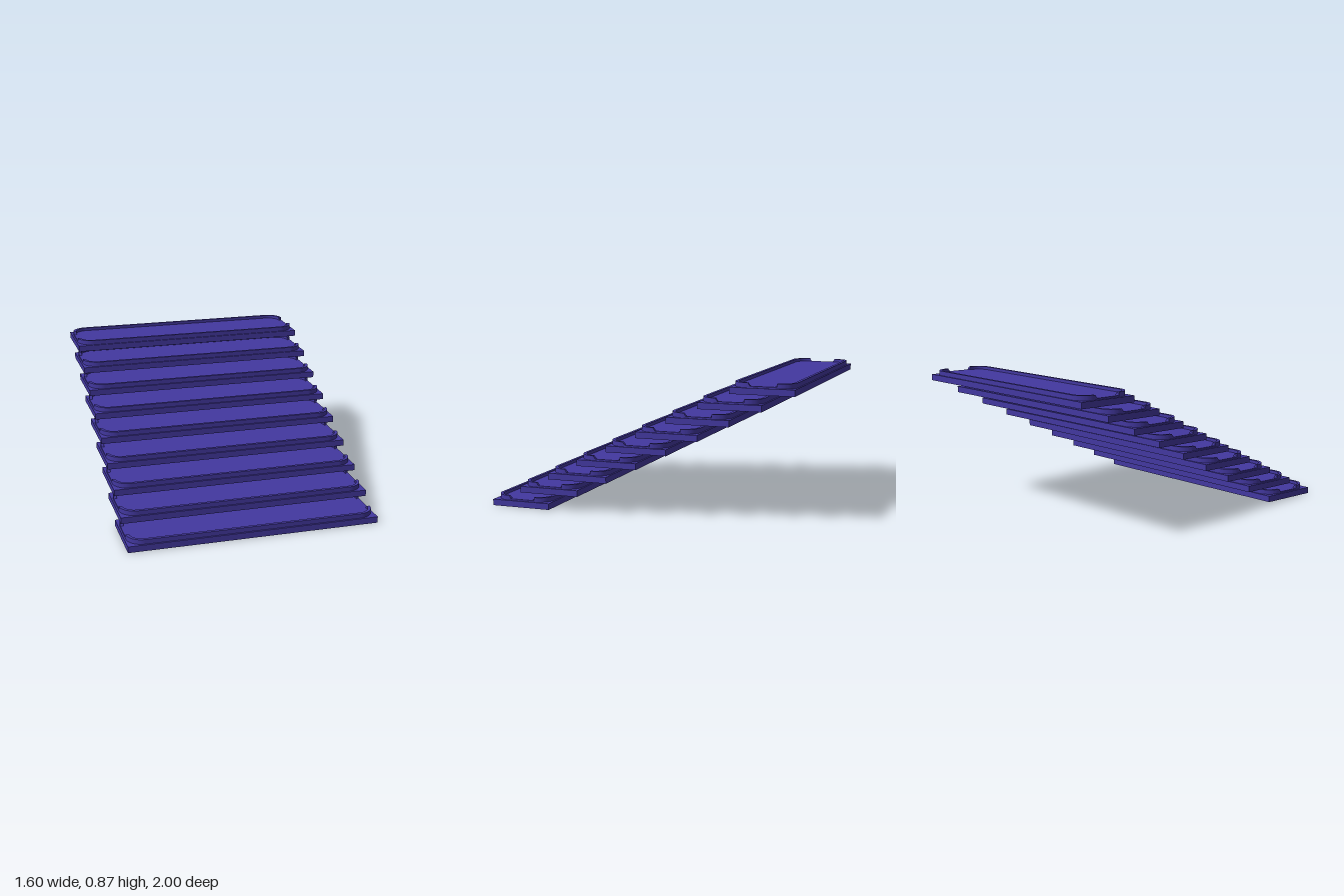
import * as THREE from 'three';
import { toCreasedNormals } from 'three/addons/utils/BufferGeometryUtils.js';

const STEPS = 9, RISE = 0.1, RUN = 0.2;
const W = 0.79, D = 0.19, R = 0.1;   // half width, half depth and corner radius of the raised tread
const BASE = 0.04, PANEL = 0.05, RIM = 0.07;
const WALL = 0.02, END = 0.075, SLOPE = 0.015;

// Extrude a plan shape upward from y0 to y1
function extrudeUp(shape, y0, y1) {
  const g = new THREE.ExtrudeGeometry(shape, { depth: y1 - y0, bevelEnabled: false, curveSegments: 10 });
  g.rotateX(-Math.PI / 2);
  g.translate(0, y0, 0);
  return g;
}

// Rounded plate inside the rims
function panelGeometry() {
  const s = new THREE.Shape();
  s.absarc(W - R, D - R, R, 0, Math.PI / 2);
  s.absarc(R - W, D - R, R, Math.PI / 2, Math.PI);
  s.absarc(R - W, R - D, R, Math.PI, Math.PI * 1.5);
  s.absarc(W - R, R - D, R, Math.PI * 1.5, Math.PI * 2);
  return toCreasedNormals(extrudeUp(s, BASE, PANEL), 0.6);
}

// Long U-shaped lip with rounded corners and sloping ends
function rimGeometry() {
  const s = new THREE.Shape();
  const cx = W - R, cy = D - R, half = Math.PI / 2;
  s.moveTo(W, END);
  s.absarc(cx, cy, R, 0, half);
  s.absarc(-cx, cy, R, half, Math.PI);
  s.lineTo(-W, END);
  s.lineTo(-W + WALL, END);
  s.absarc(-cx, cy, R - WALL, Math.PI, half, true);
  s.absarc(cx, cy, R - WALL, half, 0, true);
  s.lineTo(W - WALL, END);
  const g = extrudeUp(s, PANEL, RIM);
  const p = g.attributes.position;
  for (let i = 0; i < p.count; i++) {
    if (p.getY(i) > RIM - 0.001 && p.getZ(i) > -END - 0.001) p.setZ(i, -END - SLOPE + 0.001);
  }
  return toCreasedNormals(g, 0.6);
}

export function createModel() {
  const model = new THREE.Group();
  model.name = 'staircase';
  const material = new THREE.MeshStandardMaterial({ color: 0x4338a0 });
  const slab = new THREE.BoxGeometry(1.6, BASE, 0.4).translate(0, BASE / 2, 0);
  const panel = panelGeometry();
  const rim = rimGeometry();

  // Overlapping floating steps, climbing toward the back
  for (let i = 0; i < STEPS; i++) {
    const step = new THREE.Group();
    step.name = `step${i + 1}`;
    const add = (name, geometry) => {
      const mesh = new THREE.Mesh(geometry, material);
      mesh.name = name;
      step.add(mesh);
      return mesh;
    };
    add('slab', slab);
    add('treadPanel', panel);
    add('backRim', rim);
    add('frontRim', rim).rotation.y = Math.PI;
    step.position.set(0, i * RISE, 0.8 - i * RUN);
    model.add(step);
  }
  return model;
}
